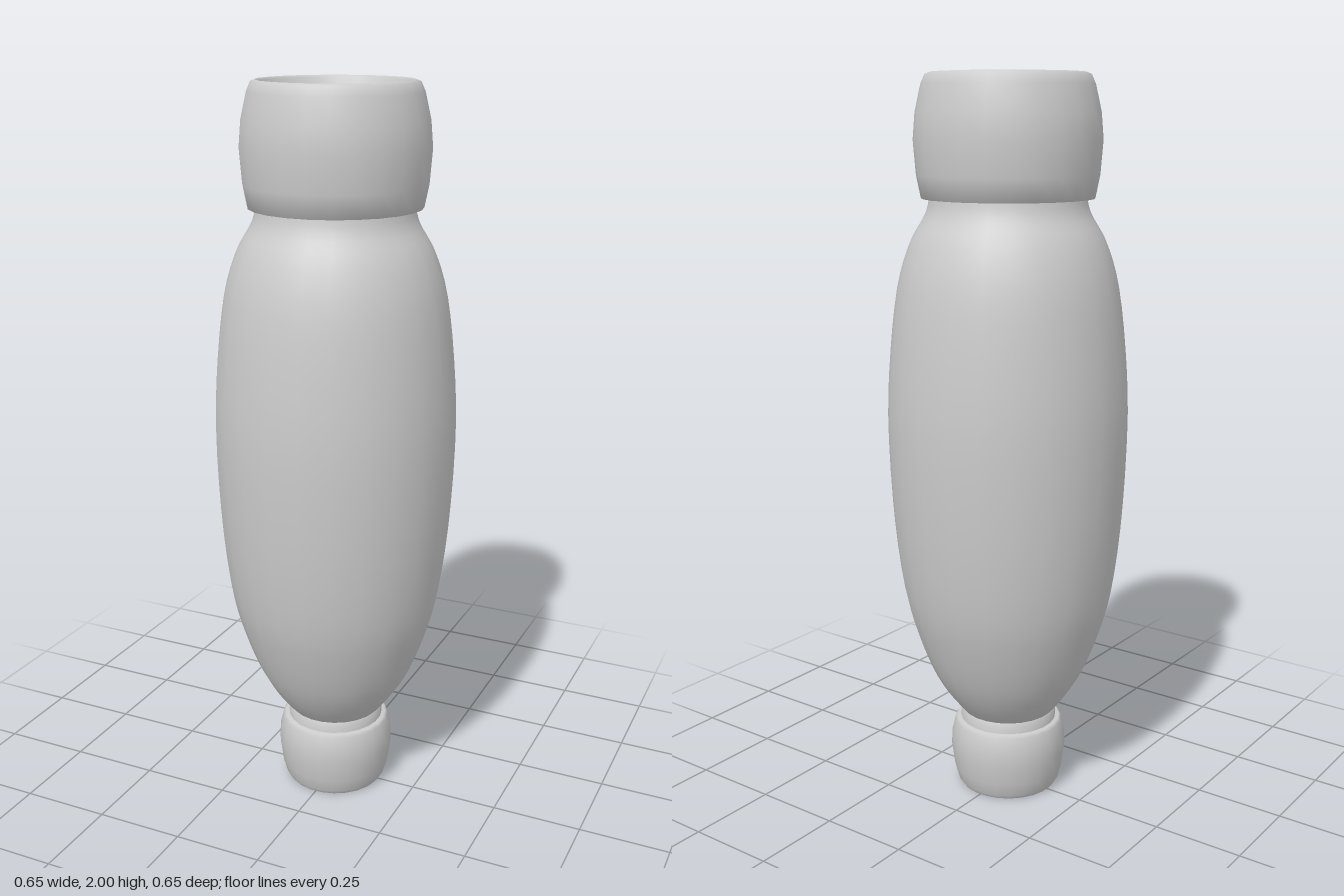
import * as THREE from 'three';

const SEGMENTS = 24;
const material = new THREE.MeshStandardMaterial({ color: 0xcccccc, side: THREE.DoubleSide });

// Turned part from [radius, height] points, optionally smoothed by a spline
function turned(name, points, smoothSteps = 0) {
  let profile = points.map(([r, y]) => new THREE.Vector2(r, y));
  if (smoothSteps) profile = new THREE.SplineCurve(profile).getPoints(smoothSteps);
  const geometry = new THREE.LatheGeometry(profile, SEGMENTS);
  geometry.rotateY(Math.PI / SEGMENTS);
  const mesh = new THREE.Mesh(geometry, material);
  mesh.name = name;
  return mesh;
}

// Flat disc closing a bore
function disc(name, radius, y, facing) {
  const geometry = new THREE.CircleGeometry(radius, SEGMENTS, Math.PI / SEGMENTS);
  geometry.rotateX(-facing * Math.PI / 2);
  const mesh = new THREE.Mesh(geometry, material);
  mesh.position.y = y;
  mesh.name = name;
  return mesh;
}

export function createModel() {
  const group = new THREE.Group();
  group.name = 'limbSegment';

  // Long swelling body, narrow at both ends
  group.add(turned('body', [
    [0.132, 0.23], [0.175, 0.285], [0.218, 0.36], [0.26, 0.47], [0.294, 0.6],
    [0.319, 0.81], [0.33, 1.07], [0.32, 1.27], [0.297, 1.45], [0.262, 1.565],
    [0.22, 1.64], [0.208, 1.69],
  ], 36));
  group.add(disc('bodyTop', 0.208, 1.69, 1));
  group.add(disc('bodyBottom', 0.132, 0.23, -1));

  // Upper socket: bulging outside, tapering bore
  group.add(turned('upperSocketOuter', [
    [0.205, 1.68], [0.231, 1.68], [0.243, 1.74], [0.25, 1.83], [0.244, 1.9],
    [0.228, 1.97], [0.217, 1.995], [0.205, 2],
  ]));
  group.add(turned('upperSocketBore', [
    [0.205, 2], [0.198, 1.995], [0.177, 1.94], [0.157, 1.85], [0.153, 1.69],
  ]));

  // Thin neck between body and lower socket
  group.add(turned('lowerNeck', [
    [0.122, 0.235], [0.135, 0.225], [0.137, 0.19],
  ]));

  // Lower socket: smaller bulge with an open underside
  group.add(turned('lowerSocketOuter', [
    [0.138, 0], [0.146, 0.012], [0.157, 0.05], [0.165, 0.11], [0.163, 0.155],
    [0.154, 0.192], [0.147, 0.2], [0.13, 0.2],
  ]));
  group.add(turned('lowerSocketBore', [
    [0.115, 0.19], [0.117, 0.06], [0.124, 0.012], [0.138, 0],
  ]));
  group.add(disc('lowerSocketFloor', 0.116, 0.19, -1));

  return group;
}
